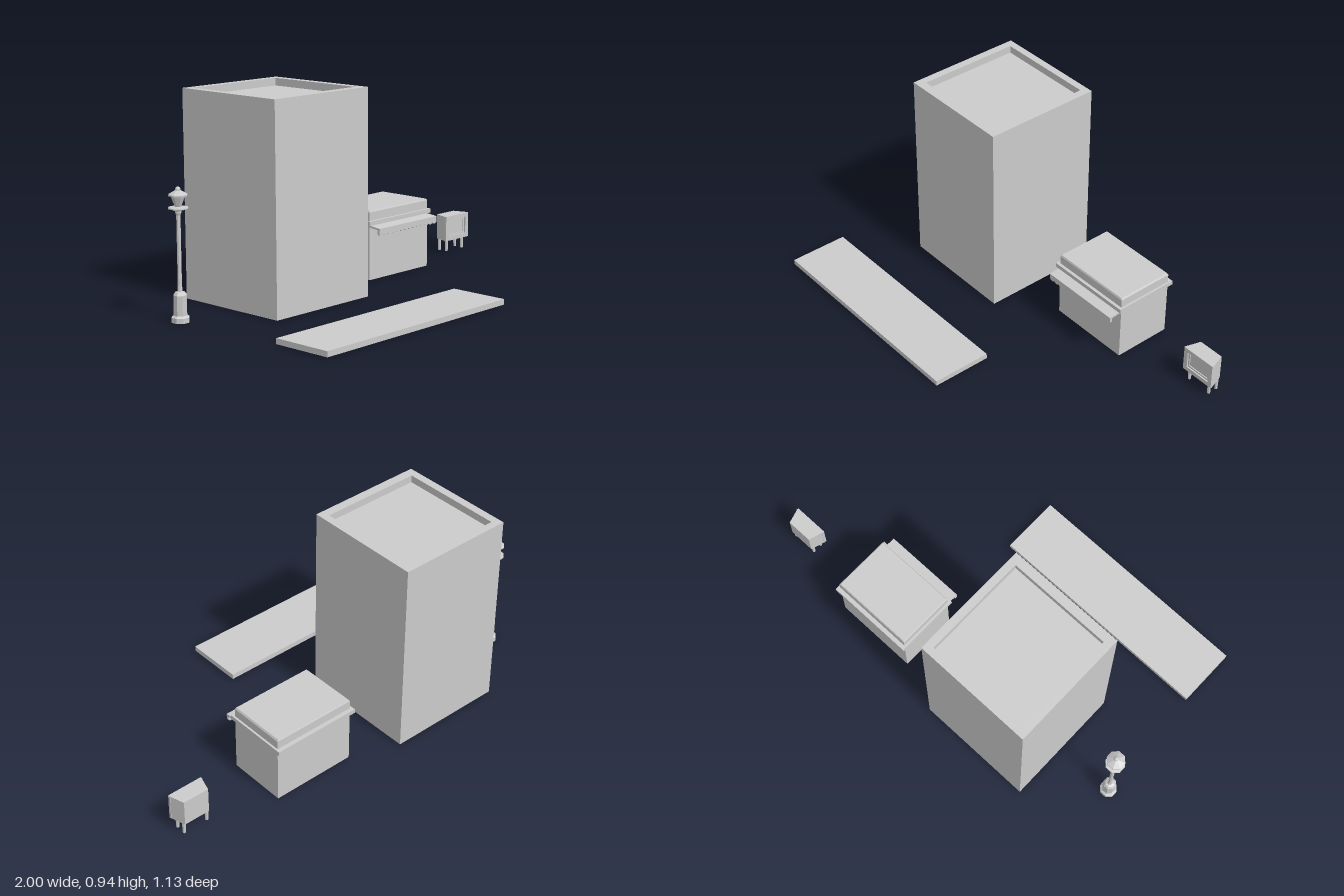
import * as THREE from 'three';

const mat = new THREE.MeshStandardMaterial({ color: 0xcccccc, flatShading: true, side: THREE.DoubleSide });

function add(parent, name, geometry, x = 0, y = 0, z = 0) {
  const mesh = new THREE.Mesh(geometry, mat);
  mesh.name = name;
  mesh.position.set(x, y, z);
  parent.add(mesh);
  return mesh;
}

// Box given by its minimum and maximum on each axis
function box(parent, name, x0, x1, y0, y1, z0, z1) {
  return add(parent, name, new THREE.BoxGeometry(x1 - x0, y1 - y0, z1 - z0),
    (x0 + x1) / 2, (y0 + y1) / 2, (z0 + z1) / 2);
}

function rect(shape, x0, x1, y0, y1) {
  shape.moveTo(x0, y0);
  shape.lineTo(x1, y0);
  shape.lineTo(x1, y1);
  shape.lineTo(x0, y1);
  shape.closePath();
  return shape;
}

function frame(outer, inner, depth) {
  const shape = rect(new THREE.Shape(), ...outer);
  shape.holes.push(rect(new THREE.Path(), ...inner));
  return new THREE.ExtrudeGeometry(shape, { depth, bevelEnabled: false });
}

// Slices a box sideways so its far end can taper
function tapered(w, h, d, backScale) {
  const g = new THREE.BoxGeometry(w, h, d);
  const p = g.attributes.position;
  for (let i = 0; i < p.count; i++) if (p.getZ(i) < 0) p.setX(i, p.getX(i) * backScale);
  g.computeVertexNormals();
  return g;
}

function lathe(points, sides) {
  const g = new THREE.LatheGeometry(points.map(([r, y]) => new THREE.Vector2(r, y)), sides);
  return g.rotateY(Math.PI / sides);
}

function makeTower() {
  const g = new THREE.Group();
  g.name = 'tower';
  box(g, 'groundStorey', -0.67, -0.1, 0, 0.263, -0.565, 0.01);
  box(g, 'upperStoreys', -0.67, -0.1, 0.263, 0.91, -0.565, 0.01);
  // Parapet round the sunken roof
  const parapet = add(g, 'parapet', frame([-0.67, -0.1, -0.01, 0.565], [-0.632, -0.137, 0.033, 0.53], 0.035), 0, 0.91, 0);
  parapet.rotation.x = -Math.PI / 2;
  return g;
}

function makeKiosk() {
  const g = new THREE.Group();
  g.name = 'kiosk';
  box(g, 'kioskWalls', 0.13, 0.54, 0, 0.262, -0.477, -0.193);
  box(g, 'cornice', 0.118, 0.55, 0.262, 0.282, -0.497, -0.178);
  box(g, 'roofBlock', 0.13, 0.54, 0.282, 0.322, -0.477, -0.193);
  // Chamfered roof cap
  const cap = new THREE.CylinderGeometry(Math.SQRT1_2 * 0.975, Math.SQRT1_2, 0.008, 4, 1).rotateY(Math.PI / 4);
  cap.scale(0.41, 1, 0.284);
  add(g, 'roofCap', cap, 0.335, 0.326, -0.335);

  // Sloping awning and its folded lip
  const side = new THREE.Shape();
  [[-0.193, 0.26], [-0.13, 0.253], [-0.13, 0.244], [-0.193, 0.25]]
    .forEach(([z, y], i) => (i ? side.lineTo(-z, y) : side.moveTo(-z, y)));
  const awning = new THREE.ExtrudeGeometry(side, { depth: 0.405, bevelEnabled: false });
  add(g, 'awning', awning.rotateY(Math.PI / 2), 0.132, 0, 0);

  // Scalloped valance
  const n = 14, w = 0.405 / n;
  const edge = new THREE.Shape();
  edge.moveTo(0, 0.25);
  edge.lineTo(0, 0.226);
  for (let i = 0; i < n; i++) edge.quadraticCurveTo((i + 0.5) * w, 0.21, (i + 1) * w, 0.226);
  edge.lineTo(n * w, 0.25);
  edge.closePath();
  add(g, 'valance', new THREE.ExtrudeGeometry(edge, { depth: 0.012, bevelEnabled: false, curveSegments: 4 }), 0.132, 0, -0.143);
  return g;
}

function makeTelevision() {
  const g = new THREE.Group();
  g.name = 'television';
  g.position.set(0.912, 0, 0);
  add(g, 'cabinet', tapered(0.168, 0.124, 0.067, 0.76), 0, 0.118, -0.3565);
  add(g, 'screenFrame', frame([-0.086, 0.086, 0.056, 0.18], [-0.064, 0.064, 0.077, 0.16], 0.012), 0, 0, -0.323);
  // Inner bezel around the glass
  add(g, 'bezel', frame([-0.064, 0.064, 0.077, 0.16], [-0.056, 0.056, 0.085, 0.152], 0.005), 0, 0, -0.323);
  for (const x of [-0.06, 0.06])
    for (const z of [-0.331, -0.376])
      add(g, 'leg', new THREE.CylinderGeometry(0.0085, 0.007, 0.06, 8), x, 0.03, z);
  return g;
}

function makeLamp() {
  const g = new THREE.Group();
  g.name = 'streetLamp';
  g.position.set(-0.956, 0, -0.28);
  // Stepped pedestal
  add(g, 'pedestal', lathe([[0, 0], [0.04, 0], [0.04, 0.022], [0.03, 0.03], [0.03, 0.118], [0.022, 0.13], [0.01, 0.134]], 8));
  add(g, 'pole', lathe([[0.012, 0.13], [0.009, 0.16], [0.009, 0.46], [0.013, 0.47], [0.013, 0.482]], 10));
  add(g, 'lanternTray', lathe([[0.012, 0.478], [0.03, 0.484], [0.045, 0.489], [0.044, 0.494], [0.014, 0.498]], 8));
  add(g, 'lantern', lathe([[0.014, 0.496], [0.032, 0.542]], 8));
  add(g, 'lanternRoof', lathe([[0.032, 0.542], [0.042, 0.543], [0.042, 0.549], [0.016, 0.564], [0.01, 0.567]], 8));
  add(g, 'finial', new THREE.SphereGeometry(0.012, 8, 6), 0, 0.57, 0);
  return g;
}

export function createModel() {
  const model = new THREE.Group();
  model.name = 'streetSet';
  model.add(makeTower(), makeKiosk(), makeTelevision(), makeLamp());
  box(model, 'pavementSlab', -0.94, 0.177, 0.005, 0.03, 0.28, 0.565);
  return model;
}
